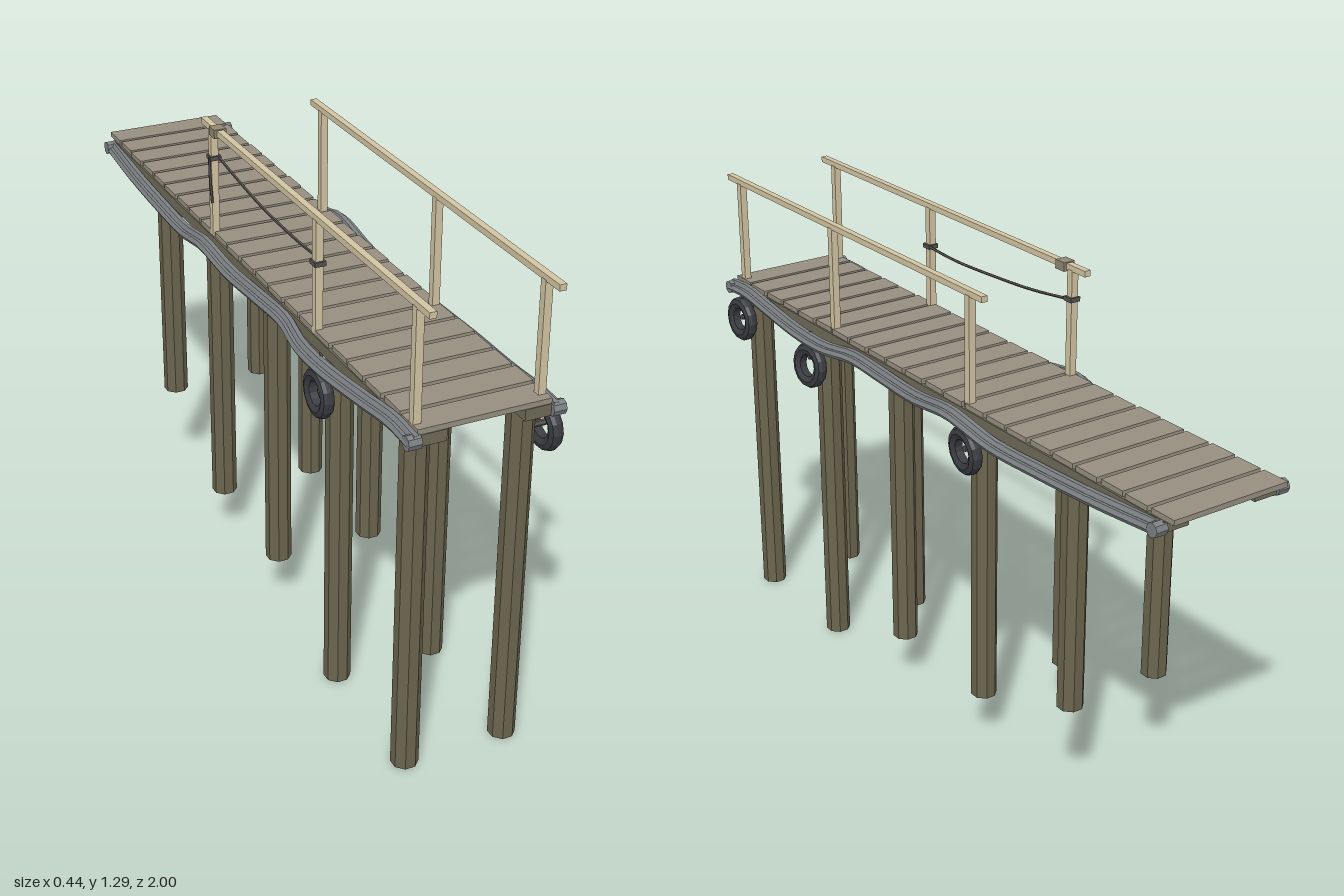
import * as THREE from 'three';

const mat = (color, flatShading = true) => new THREE.MeshStandardMaterial({ color, flatShading });
const V = (x, y, z) => new THREE.Vector3(x, y, z);

export function createModel() {
  const root = new THREE.Group();
  root.name = 'pier';
  const pileMat = mat(0x6b654e), plankMat = mat(0x968e80), beamMat = mat(0x6f6a58);
  const railMat = mat(0xd2c4a2), pipeMat = mat(0x7c8083), tyreMat = mat(0x3a3c41), ropeMat = mat(0x55524e);

  const add = (name, geometry, material, x = 0, y = 0, z = 0, parent = root) => {
    const mesh = new THREE.Mesh(geometry, material);
    mesh.name = name;
    mesh.position.set(x, y, z);
    parent.add(mesh);
    return mesh;
  };
  const box = (name, w, h, d, material, x, y, z) =>
    add(name, new THREE.BoxGeometry(w, h, d), material, x, y, z);
  const tube = (name, points, radius, material, segments = 40, sides = 6) => {
    const curve = new THREE.CatmullRomCurve3(points);
    return add(name, new THREE.TubeGeometry(curve, segments, radius, sides), material);
  };

  // Deck planks, laid across with narrow gaps
  const plankCount = 22, pitch = 0.09;
  for (let i = 0; i < plankCount; i++) {
    const wobble = 0.002 * Math.sin(i * 2.3);
    box('plank', 0.342, 0.014, 0.078, plankMat, wobble, 0.982, -0.961 + i * pitch);
  }

  // Piles get shorter toward the shore
  const piles = [[0.89, 0], [0.51, 0], [0.14, 0.15], [-0.24, 0.15], [-0.61, 0.3]];
  const pileTop = 0.95;
  for (const side of [-1, 1]) {
    for (const [z, bottom] of piles) {
      const geo = new THREE.CylinderGeometry(0.035, 0.035, pileTop - bottom, 8);
      geo.rotateY(Math.PI / 8);
      add('pile', geo, pileMat, side * 0.137, (pileTop + bottom) / 2, z);
    }

    // Long beam under the deck
    box('beam', 0.075, 0.03, 1.94, beamMat, side * 0.137, 0.96, 0);

    // Pair of wavy fender pipes: x offset, y, z
    const path = [
      [0.19, 0.96, 0.975], [0.19, 0.965, 0.88], [0.197, 0.953, 0.74], [0.208, 0.942, 0.55],
      [0.206, 0.94, 0.42], [0.192, 0.95, 0.3], [0.194, 0.946, 0.15], [0.203, 0.946, -0.02],
      [0.208, 0.962, -0.18], [0.204, 0.95, -0.25], [0.199, 0.932, -0.35], [0.197, 0.935, -0.55],
      [0.194, 0.943, -0.75], [0.186, 0.956, -0.965],
    ];
    for (const [dx, dy] of [[-0.012, 0.008], [0.002, -0.003]]) {
      tube('fenderPipe', path.map(([x, y, z]) => V(side * (x + dx), y + dy, z)), 0.012, pipeMat, 48);
    }

    // Knobs holding the pipe ends
    for (const [z, y] of [[0.965, 0.96], [-0.96, 0.957]]) {
      const knob = new THREE.CylinderGeometry(0.019, 0.019, 0.034, 8);
      knob.rotateZ(Math.PI / 2);
      add('pipeEnd', knob, pipeMat, side * 0.184, y, z);
    }

    // Handrail with three uprights
    const rx = side < 0 ? -0.162 : 0.156;
    for (const z of [0.935, 0.435, -0.205]) {
      box('railPost', 0.02, 0.3, 0.02, railMat, rx, 1.125, z);
    }
    box('handrail', 0.018, 0.016, 1.265, railMat, rx, 1.28, 0.3675);
  }

  // Tyre profile with bevelled shoulders, turned about its axle
  const profile = [[0.032, -0.011], [0.047, -0.018], [0.06, -0.014], [0.065, -0.005],
    [0.065, 0.005], [0.06, 0.014], [0.047, 0.018], [0.032, 0.011], [0.032, -0.011]];
  const tyreGeo = new THREE.LatheGeometry(profile.map(([r, y]) => new THREE.Vector2(r, y)), 14);
  tyreGeo.rotateZ(Math.PI / 2);
  const tyres = [[1, 0.88, 0.9, 0.04], [1, 0.86, 0.515, 0.1], [1, 0.88, -0.24, -0.06], [-1, 0.86, 0.515, 0]];
  for (const [side, y, z, tilt] of tyres) {
    const tyre = add('tyreFender', tyreGeo, tyreMat, side * 0.196, y, z);
    tyre.rotation.set(0, tilt, tilt * 0.8);
    // Hanger strap over the rim and a peg into the pile
    tube('tyreStrap', [V(side * 0.19, 0.96, z), V(side * 0.2, y + 0.045, z), V(side * 0.196, y + 0.025, z)],
      0.005, ropeMat, 8, 5);
    const peg = new THREE.CylinderGeometry(0.008, 0.008, 0.04, 6);
    peg.rotateZ(Math.PI / 2);
    add('tyrePeg', peg, ropeMat, side * 0.18, 0.885, z);
  }

  // Slack rope along one handrail
  tube('rope', [V(-0.15, 1.165, 0.435), V(-0.15, 1.159, 0.3), V(-0.152, 1.166, 0.1),
    V(-0.15, 1.178, -0.05), V(-0.15, 1.198, -0.205)], 0.004, ropeMat, 24, 5);
  for (const [y, z] of [[1.163, 0.435], [1.197, -0.205]]) {
    box('ropeWrap', 0.03, 0.012, 0.03, ropeMat, -0.161, y, z);
  }
  tube('ropeTail', [V(-0.175, 1.2, -0.2), V(-0.178, 1.15, -0.192), V(-0.175, 1.075, -0.188)],
    0.004, ropeMat, 10, 5);
  box('railLashing', 0.034, 0.024, 0.036, mat(0x8f8672), -0.162, 1.279, -0.172);

  return root;
}
